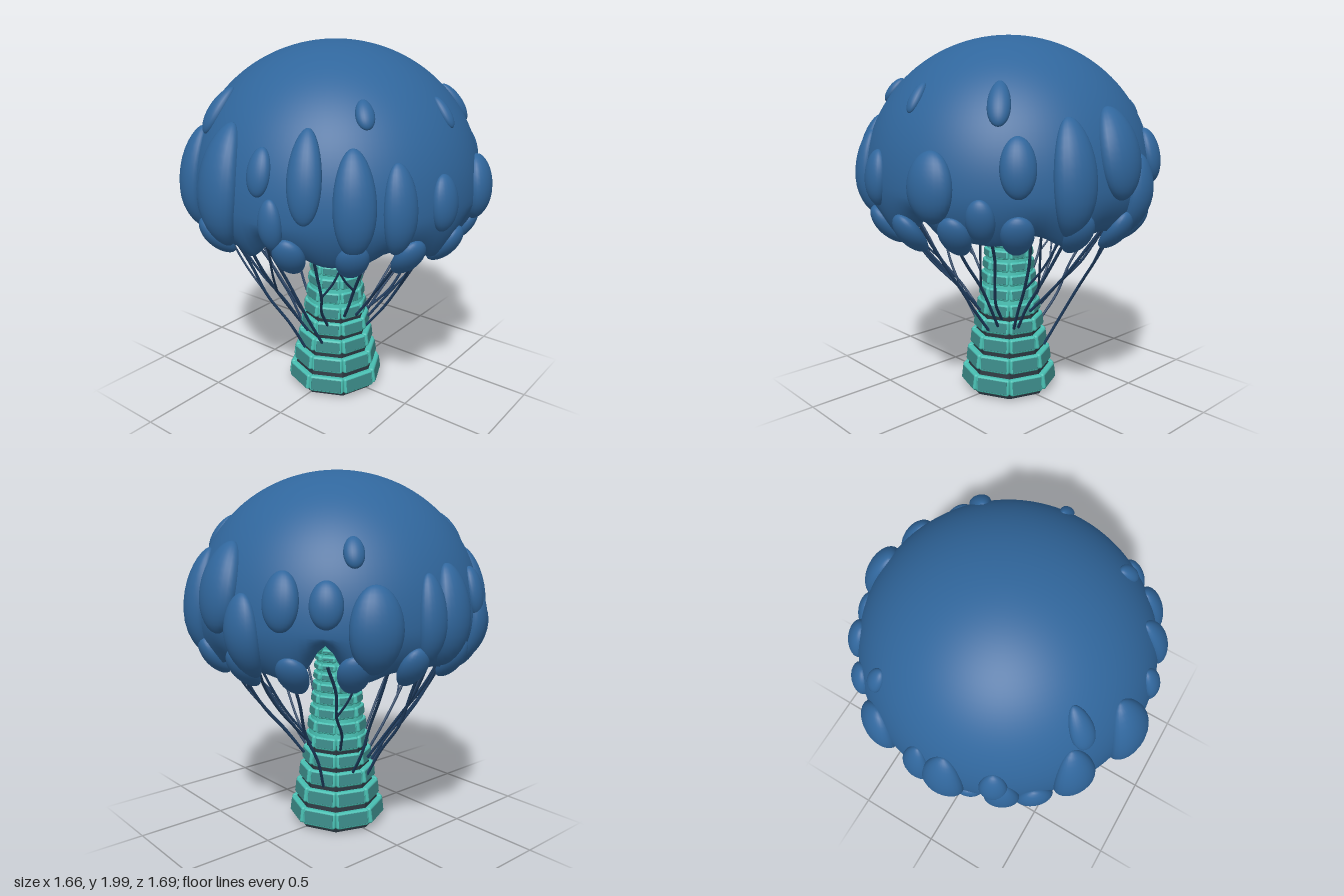
import * as THREE from 'three';
import { mergeVertices } from 'three/addons/utils/BufferGeometryUtils.js';
import { RoundedBoxGeometry } from 'three/addons/geometries/RoundedBoxGeometry.js';

const D = Math.PI / 180;
const mat = (name, color, side = THREE.FrontSide) => {
  const m = new THREE.MeshStandardMaterial({ color, side });
  m.name = name;
  return m;
};

// Weld seams and shade smoothly
function smooth(g) {
  g.deleteAttribute('uv');
  g.deleteAttribute('normal');
  const m = mergeVertices(g, 1e-5);
  m.computeVertexNormals();
  return m;
}

// Cap surface: radius at a height, and a point offset along the surface normal
const CY = 1.25, CR = 0.78;
const capHalf = y => (y > CY ? 0.75 : 0.5);
const capRadius = y => CR * Math.sqrt(Math.max(0, 1 - ((y - CY) / capHalf(y)) ** 2));
function capPoint(theta, y, out) {
  const r = capRadius(y);
  const n = new THREE.Vector2(r / CR ** 2, (y - CY) / capHalf(y) ** 2).normalize();
  const R = r + n.x * out;
  return new THREE.Vector3(R * Math.sin(theta), y + n.y * out, R * Math.cos(theta));
}

// Ellipsoid bent to follow the cap; wider ones bulge more
function lumpGeometry(deg, y, w, h) {
  const g = new THREE.SphereGeometry(1, 24, 18);
  const p = g.attributes.position;
  for (let i = 0; i < p.count; i++) {
    const v = capPoint(deg * D + p.getX(i) * w / capRadius(y), y + p.getY(i) * h, p.getZ(i) * (0.01 + 0.5 * w));
    p.setXYZ(i, v.x, v.y, v.z);
  }
  return smooth(g);
}

export function createModel() {
  const model = new THREE.Group();
  const blue = mat('cap blue', 0x30669c, THREE.DoubleSide);
  const navy = mat('vine navy', 0x1f3d60);
  const teal = mat('light teal', 0x48bfb2);
  const plate = mat('plate teal', 0x3b8a88);
  const dark = mat('core charcoal', 0x27333c);
  const gill = mat('underside green', 0x2c6058, THREE.DoubleSide);
  const add = (parent, name, geo, m) => {
    const mesh = new THREE.Mesh(geo, m);
    mesh.name = name;
    parent.add(mesh);
    return mesh;
  };
  const addGroup = name => {
    const g = new THREE.Group();
    g.name = name;
    model.add(g);
    return g;
  };
  let seed = 7;
  const rnd = () => (seed = (seed * 16807) % 2147483647) / 2147483647;
  const V = a => a.map(([r, y]) => new THREE.Vector2(r, y));
  const at = (deg, r, y) => new THREE.Vector3(r * Math.sin(deg * D), y, r * Math.cos(deg * D));

  // Cap dome with an inner wall and an uneven, notched rim
  const prof = V([[0.73, 1.23], [0.7, 1.14], [0.64, 1.05], [0.64, 1.02]]);
  for (let i = 0; i <= 40; i++) {
    const y = i < 8 ? 1.01 + i * 0.03 : CY + 0.75 * Math.sin((i - 8) / 32 * Math.PI / 2);
    prof.push(new THREE.Vector2(i === 40 ? 0 : capRadius(y), y));
  }
  const dome = new THREE.LatheGeometry(prof, 120);
  const dp = dome.attributes.position;
  for (let i = 0; i < dp.count; i++) {
    const y = dp.getY(i);
    if (y >= 1.22) continue;
    const a = Math.atan2(dp.getX(i), dp.getZ(i));
    let k = 0.96 + 0.1 * Math.sin(a * 9 + 1) + 0.07 * Math.sin(a * 14);
    for (const [deg, depth] of [[10, 0.55], [225, 0.55], [100, 0.25], [300, 0.2], [58, 0.2]]) {
      const d = Math.atan2(Math.sin(a - deg * D), Math.cos(a - deg * D)) / (6 * D);
      k -= depth * Math.exp(-d * d);
    }
    dp.setY(i, 1.22 - (1.22 - y) * k);
  }
  add(model, 'cap', smooth(dome), blue);

  // Large lumps on the cap: angle from the front, height, half width, half height
  const lumpGroup = addGroup('capLumps');
  const lumps = [
    [-29, 1.67, 0.06, 0.11], [-9, 1.35, 0.13, 0.3], [-35, 1.32, 0.11, 0.27], [10, 1.46, 0.06, 0.11],
    [27, 1.45, 0.08, 0.21], [15, 1.22, 0.06, 0.13], [44, 1.33, 0.1, 0.25], [60, 1.29, 0.085, 0.22],
    [-65, 1.38, 0.07, 0.13], [50, 1.71, 0.045, 0.06], [-50, 1.14, 0.1, 0.17], [-62, 1.2, 0.09, 0.21],
    [-84, 1.29, 0.11, 0.25], [93, 1.68, 0.035, 0.07], [133, 1.66, 0.055, 0.1], [79, 1.29, 0.08, 0.14],
    [109, 1.28, 0.12, 0.17], [127, 1.13, 0.07, 0.11], [140, 1.38, 0.085, 0.14], [160, 1.32, 0.11, 0.28],
    [181, 1.42, 0.13, 0.22], [194, 1.2, 0.1, 0.21], [210, 1.38, 0.09, 0.14], [226, 1.37, 0.08, 0.11],
    [236, 1.6, 0.05, 0.07], [243, 1.25, 0.13, 0.21], [265, 1.28, 0.08, 0.22],
  ];
  for (const l of lumps) add(lumpGroup, 'lump', lumpGeometry(...l), blue);
  // Rounder lumps along the rim
  for (let deg = 20; deg < 340; deg += 24)
    add(lumpGroup, 'rimLump', lumpGeometry(deg, 1.04 + 0.02 * Math.sin(deg), 0.08, 0.1), blue);

  // Flat underside of the cap
  const under = add(model, 'capUnderside', new THREE.CircleGeometry(0.74, 64), gill);
  under.rotation.x = Math.PI / 2;
  under.position.y = 1.22;

  // Stalk: charcoal eight-sided foot, then a smooth teal neck
  const foot = new THREE.LatheGeometry(
    V([[0, 0.01], [0.24, 0.015], [0.245, 0.1], [0.212, 0.21], [0.19, 0.32], [0.165, 0.53]]), 8).toNonIndexed();
  foot.computeVertexNormals();
  add(model, 'stalkFoot', foot, dark).rotation.y = 3 * D;
  add(model, 'stalkNeck', new THREE.LatheGeometry(
    V([[0.165, 0.53], [0.14, 0.7], [0.118, 0.9], [0.11, 1.03], [0.115, 1.12], [0.13, 1.22]]), 32), teal);

  // Armour tiles in rows that shrink and close up towards the top
  const tiles = addGroup('stalkTiles');
  const tilt = 0.13;
  for (let row = 0; row < 13; row++) {
    const y = 0.09 + 0.117 * row - 0.0033 * row * row;
    const r = 0.272 - 0.258 * y + 0.1 * y * y;
    const h = 0.8 * (0.117 - 0.0066 * row);
    const w = 2 * r * Math.tan(22.5 * D) - 0.01;
    const body = new RoundedBoxGeometry(w, h, 0.04, 3, 0.014);
    const face = new RoundedBoxGeometry(w - 0.022, h - 0.022, 0.006, 1, 0.002);
    for (let i = 0; i < 8; i++) {
      const tile = new THREE.Group();
      tile.name = 'tile';
      tile.rotation.set(-tilt, (25.5 + 45 * i) * D, 0, 'YXZ');
      tile.position.y = y - r * Math.sin(tilt);
      add(tile, 'tileBody', body, teal).position.z = r - 0.012;
      add(tile, 'tileFace', face, plate).position.z = r + 0.007;
      tiles.add(tile);
    }
  }

  // Small beads at the top of the stalk
  const bead = new THREE.SphereGeometry(0.03, 16, 12);
  for (const [deg, y] of [[245, 1.17], [270, 1.08], [261, 1.04], [180, 1.04], [70, 1.08]])
    add(model, 'bead', bead, teal).position.copy(at(deg, 0.14, y));

  // Vines hanging from the rim to the stalk, with side branches
  const vines = addGroup('vines');
  const tube = (pts, r) =>
    add(vines, 'vine', new THREE.TubeGeometry(new THREE.CatmullRomCurve3(pts), 24, r, 6), navy);
  for (let i = 0; i < 18; i++) {
    const a = i * 20 + 10 + (rnd() - 0.5) * 10;
    const twist = (rnd() - 0.5) * 26;
    const end = 0.26 + rnd() * 0.26;
    const rEnd = 0.25 - end * 0.13;
    const pts = [0, 0.25, 0.5, 0.75, 1].map(t => {
      const wobble = t > 0 && t < 1 ? 0.03 : 0;
      return at(a + twist * t + (rnd() - 0.5) * wobble * 150,
        0.63 + (rEnd - 0.63) * t + (rnd() - 0.5) * wobble,
        1.06 + (end - 1.06) * t - Math.sin(t * Math.PI) * 0.03);
    });
    tube(pts, 0.008);
    if (i % 3) {
      const start = at(a + (i % 2 ? 15 : -15), 0.64, 1.05);
      const mid = start.clone().lerp(pts[2], 0.5);
      mid.y -= 0.03;
      tube([start, mid, pts[2]], 0.006);
    }
  }
  return model;
}
